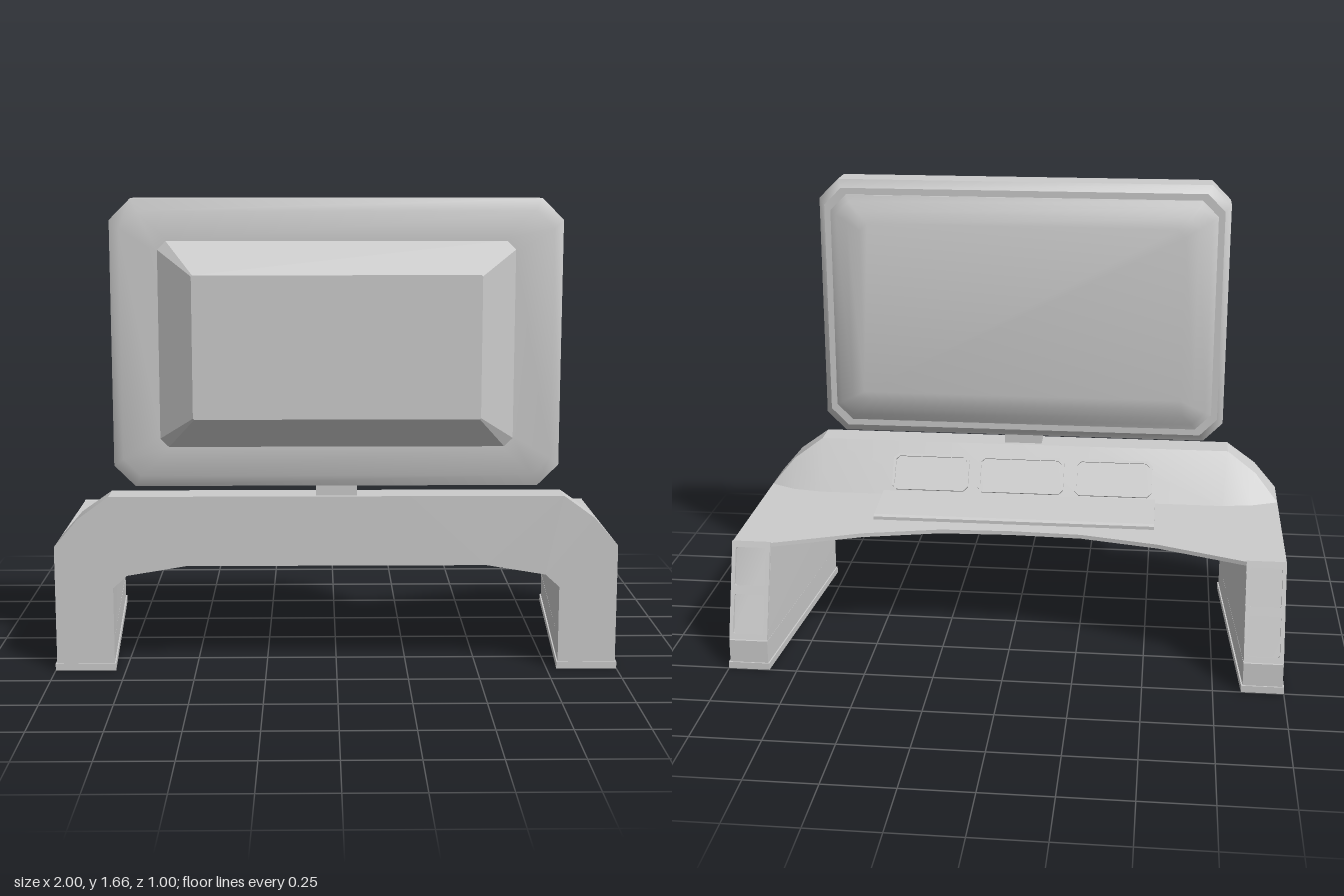
import * as THREE from 'three';
import { toCreasedNormals } from 'three/addons/utils/BufferGeometryUtils.js';

const material = new THREE.MeshStandardMaterial({ color: 0xcccccc, side: THREE.DoubleSide });

function addMesh(parent, name, geometry) {
  const mesh = new THREE.Mesh(geometry, material);
  mesh.name = name;
  parent.add(mesh);
  return mesh;
}

// Skin a list of closed rings (counter-clockwise about the path) and cap both ends.
function loft(rings, crease = 0.5) {
  const pos = [];
  const tri = (...pts) => pts.forEach((p) => pos.push(...p));
  const n = rings[0].length;
  for (let i = 0; i < rings.length - 1; i++) {
    for (let j = 0; j < n; j++) {
      const k = (j + 1) % n;
      const [a, b, c, d] = [rings[i][j], rings[i][k], rings[i + 1][k], rings[i + 1][j]];
      tri(a, b, c);
      tri(a, c, d);
    }
  }
  const first = rings[0], last = rings[rings.length - 1];
  for (let j = 1; j < n - 1; j++) {
    tri(first[0], first[j + 1], first[j]);
    tri(last[0], last[j], last[j + 1]);
  }
  const g = new THREE.BufferGeometry();
  g.setAttribute('position', new THREE.Float32BufferAttribute(pos, 3));
  return toCreasedNormals(g, crease);
}

// Rectangle with cut corners, at depth z.
function octagon([z, w, h, c], cy = 1.1675) {
  return [[w, -h + c], [w, h - c], [w - c, h], [-w + c, h], [-w, h - c], [-w, -h + c], [-w + c, -h], [w - c, -h]]
    .map(([x, y]) => [x, y + cy, z]);
}

// Rectangle with cut corners as an outline or hole.
function outline(Type, x0, y0, x1, y1, c) {
  const pts = [[x0 + c, y0], [x1 - c, y0], [x1, y0 + c], [x1, y1 - c], [x1 - c, y1], [x0 + c, y1], [x0, y1 - c], [x0, y0 + c]];
  return new Type(pts.map((p) => new THREE.Vector2(...p)));
}

// Lay an extruded plate on a surface that rises along (0, dy, dz), facing backwards.
function layOnSlope(mesh, x, y, z, dy, dz) {
  const ax = new THREE.Vector3(-1, 0, 0);
  const ay = new THREE.Vector3(0, dy, dz).normalize();
  const az = new THREE.Vector3().crossVectors(ax, ay);
  mesh.quaternion.setFromRotationMatrix(new THREE.Matrix4().makeBasis(ax, ay, az));
  mesh.position.set(x, y, z);
}

// Desk: legs, tabletop and raised front ridge as one arch from foot to foot.
// Ring order: front outer, ridge, ridge base, rear top, rear underside, front underside.
function deskGeometry() {
  const leg = (y, zb) => [
    [0.995, y, 0.385], [0.995, y, 0.22], [0.995, y, 0.21],
    [0.995, y, zb], [0.855, y, zb], [0.79, y, 0.385],
  ];
  const top = (x, z) => [[x, 0.63, 0.385], [x, 0.63, 0.275], [x * 0.98, 0.45, 0.15],
    [x, 0.45, z], [x, 0.435, z], [x, 0.38, 0.385]];
  const corner = top(0.8, -0.26);
  corner[3][0] = corner[4][0] = 0.54;
  corner[5][0] = 0.53;
  const half = [
    leg(0, -0.495),
    leg(0.11, -0.495),
    leg(0.11, -0.483),
    [[0.995, 0.45, 0.385], [0.995, 0.45, 0.22], [0.995, 0.45, 0.21],
      [0.995, 0.45, -0.373], [0.855, 0.435, -0.373], [0.79, 0.3, 0.385]],
    [[0.91, 0.55, 0.385], [0.91, 0.55, 0.255], [0.9, 0.45, 0.17],
      [0.855, 0.45, -0.385], [0.855, 0.435, -0.385], [0.74, 0.345, 0.385]],
    corner,
    top(0.26, -0.195),
  ];
  const mirrored = half.map((r) => r.map(([x, y, z]) => [-x, y, z])).reverse();
  return loft([...half, top(0, -0.185), ...mirrored], 0.45);
}

export function createModel() {
  const model = new THREE.Group();
  model.name = 'consoleDesk';
  addMesh(model, 'desk', deskGeometry());

  for (const side of [1, -1]) {
    const label = side > 0 ? 'left' : 'right';
    // Foot trim
    const plan = [[1, 0.39], [1, -0.5], [0.85, -0.5], [0.785, 0.39]];
    if (side < 0) plan.reverse();
    addMesh(model, label + 'Foot', loft([0, 0.025].map((y) => plan.map(([x, z]) => [x * side, y, z]))));

    // Frame with two recesses on the sloping back of the leg
    const frame = outline(THREE.Shape, -0.07, 0, 0.07, 0.357, 0);
    frame.holes.push(outline(THREE.Path, -0.056, 0.02, 0.056, 0.165, 0.006));
    frame.holes.push(outline(THREE.Path, -0.056, 0.195, 0.056, 0.335, 0.006));
    const legFrame = addMesh(model, label + 'LegFrame',
      new THREE.ExtrudeGeometry(frame, { depth: 0.012, bevelEnabled: false }));
    layOnSlope(legFrame, 0.925 * side, 0.11, -0.483, 0.34, 0.11);
  }

  // Three rimmed panels on the slope of the ridge
  for (const [x, w] of [[-0.36, 0.3], [0, 0.335], [0.355, 0.3]]) {
    const rim = outline(THREE.Shape, -w / 2, 0.02, w / 2, 0.165, 0.018);
    rim.holes.push(outline(THREE.Path, -w / 2 + 0.01, 0.03, w / 2 - 0.01, 0.155, 0.014));
    const panelRim = addMesh(model, 'controlPanelRim',
      new THREE.ExtrudeGeometry(rim, { depth: 0.01, bevelEnabled: false }));
    const plate = outline(THREE.Shape, -w / 2 + 0.01, 0.03, w / 2 - 0.01, 0.155, 0.014);
    const panel = addMesh(model, 'controlPanel',
      new THREE.ExtrudeGeometry(plate, { depth: 0.003, bevelEnabled: false }));
    for (const m of [panelRim, panel]) layOnSlope(m, x, 0.45, 0.15, 0.18, 0.125);
  }

  // Wedge keyboard
  const wedge = [[-0.105, 0.448], [0.12, 0.448], [0.12, 0.462], [0.105, 0.467], [-0.095, 0.487], [-0.105, 0.483]];
  const keyboard = new THREE.ExtrudeGeometry(
    new THREE.Shape(wedge.map((p) => new THREE.Vector2(...p))), { depth: 1.05, bevelEnabled: false });
  keyboard.translate(0, 0, -0.525).rotateY(Math.PI / 2);
  addMesh(model, 'keyboard', keyboard);

  // Monitor: neck, housing, raised cover and bulging screen
  const monitor = new THREE.Group();
  monitor.name = 'monitor';
  model.add(monitor);
  addMesh(monitor, 'neck', new THREE.BoxGeometry(0.145, 0.1, 0.075)).position.set(0, 0.66, 0.333);
  addMesh(monitor, 'housing', loft([
    [0.25, 0.752, 0.468, 0.065], [0.275, 0.775, 0.4975, 0.073], [0.39, 0.775, 0.4975, 0.073],
    [0.412, 0.74, 0.457, 0.06], [0.415, 0.61, 0.357, 0.04],
  ].map((r) => octagon(r)), 0.6));
  addMesh(monitor, 'cover', loft([
    [0.405, 0.613, 0.357, 0.03], [0.413, 0.613, 0.357, 0.03], [0.505, 0.49, 0.245, 0.004],
  ].map((r) => octagon(r)), 0.3));
  addMesh(monitor, 'screen', loft([
    [0.198, 0.61, 0.345, 0.03], [0.213, 0.66, 0.385, 0.04], [0.232, 0.705, 0.42, 0.05],
    [0.245, 0.728, 0.443, 0.06], [0.27, 0.73, 0.445, 0.06],
  ].map((r) => octagon(r)), 0.65));
  return model;
}
